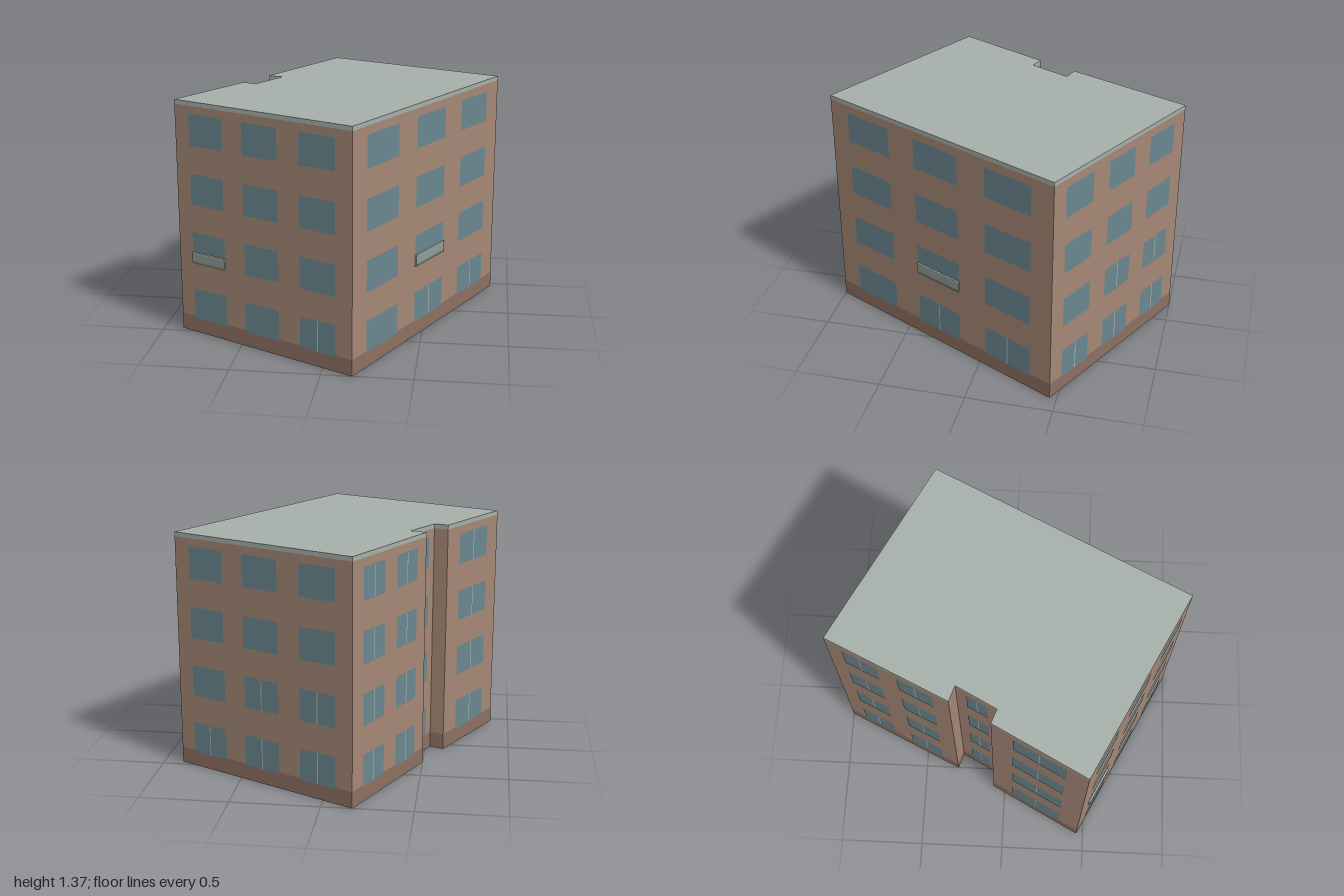
import * as THREE from 'three';

const HEIGHT = 1.365, BAND = 0.025, PLINTH = 0.095;
const WIN_H = 0.18, ROWS = [0.087, 0.43, 0.772, 1.114];

const mat = (color, side = THREE.FrontSide) => new THREE.MeshStandardMaterial({ color, side });
const brick = mat(0xa58775, THREE.DoubleSide);
const plinthMat = mat(0x8c7061);
const roofMat = mat(0xa6afaa, THREE.DoubleSide);
const glass = mat(0x6a8790);
const frame = mat(0xb4b9ac);
const balconyMat = mat(0x8f9c99);

// Footprint corners as [x, z], walked so every wall faces outward
const corners = [
  [-0.89, 0.46], [0.17, 1.0], [0.89, -0.46], [-0.17, -1.0],
  [-0.50, -0.30], [-0.41, -0.27], [-0.53, -0.04], [-0.61, -0.07],
];

// Window spans as fractions of the wall; mullion(row, column) tells which are divided
const three = [[0.084, 0.281], [0.399, 0.596], [0.715, 0.911]];
const never = () => false;
const always = () => true;
const facades = [
  { name: 'frontWall', spans: three, mullion: (r, c) => r === 0 && c === 2, balcony: 0 },
  { name: 'leftWall', spans: three, mullion: (r, c) => r === 0 && c > 0, balcony: 1 },
  { name: 'backWall', spans: three, mullion: (r, c) => r === 0 || (r === 1 && c > 0) },
  { name: 'rightRearWall', spans: [[0.136, 0.417], [0.582, 0.864]], mullion: always },
  { name: 'recessRearReturn', spans: [], mullion: never },
  { name: 'recessWall', spans: [[0.26, 0.77]], mullion: always },
  { name: 'recessFrontReturn', spans: [], mullion: never },
  { name: 'rightFrontWall', spans: [[0.23, 0.78]], mullion: always },
];

// Upright flat panel whose lower left corner is at (x, y), set out by z
function panel(name, w, h, x, y, z, material) {
  const mesh = new THREE.Mesh(new THREE.PlaneGeometry(w, h), material);
  mesh.position.set(x + w / 2, y + h / 2, z);
  mesh.name = name;
  return mesh;
}

// Box standing out from the wall face
function block(name, w, h, d, x, y, material) {
  const mesh = new THREE.Mesh(new THREE.BoxGeometry(w, h, d), material);
  mesh.position.set(x + w / 2, y + h / 2, d / 2);
  mesh.name = name;
  return mesh;
}

// Shallow window balcony: infill with a top and bottom rail
function balcony(x, y, w) {
  const g = new THREE.Group();
  g.name = 'balcony';
  g.add(block('balconyInfill', w, 0.06, 0.01, x, y, balconyMat));
  g.add(block('balconyTopRail', w, 0.007, 0.013, x, y + 0.056, frame));
  g.add(block('balconyBottomRail', w, 0.007, 0.013, x, y - 0.003, frame));
  return g;
}

// One facade, built flat along local x and turned to run from a to b
function facade([ax, az], [bx, bz], { name, spans, mullion, balcony: column }) {
  const g = new THREE.Group();
  g.name = name;
  const len = Math.hypot(bx - ax, bz - az);
  g.add(panel('wallFace', len, HEIGHT - BAND, 0, 0, 0, brick));
  g.add(panel('plinth', len, PLINTH, 0, 0, 0.001, plinthMat));
  g.add(panel('roofEdge', len, BAND, 0, HEIGHT - BAND, 0, roofMat));
  ROWS.forEach((y, r) => spans.forEach(([s, e], c) => {
    const x = s * len, w = (e - s) * len;
    g.add(panel('window', w, WIN_H, x, y, 0.0025, glass));
    if (mullion(r, c)) g.add(panel('mullion', 0.006, WIN_H, x + w / 2 - 0.003, y, 0.004, frame));
    if (r === 1 && c === column) g.add(balcony(x, y, w));
  }));
  g.position.set(ax, 0, az);
  g.rotation.y = Math.atan2(az - bz, bx - ax);
  return g;
}

export function createModel() {
  const model = new THREE.Group();
  model.name = 'apartmentBlock';

  corners.forEach((a, i) => model.add(facade(a, corners[(i + 1) % corners.length], facades[i])));

  // Flat roof; the underside of the block stays open
  const outline = new THREE.Shape(corners.map(([x, z]) => new THREE.Vector2(x, -z)));
  const roof = new THREE.Mesh(new THREE.ShapeGeometry(outline).rotateX(-Math.PI / 2), roofMat);
  roof.position.y = HEIGHT;
  roof.name = 'roof';
  model.add(roof);

  return model;
}
